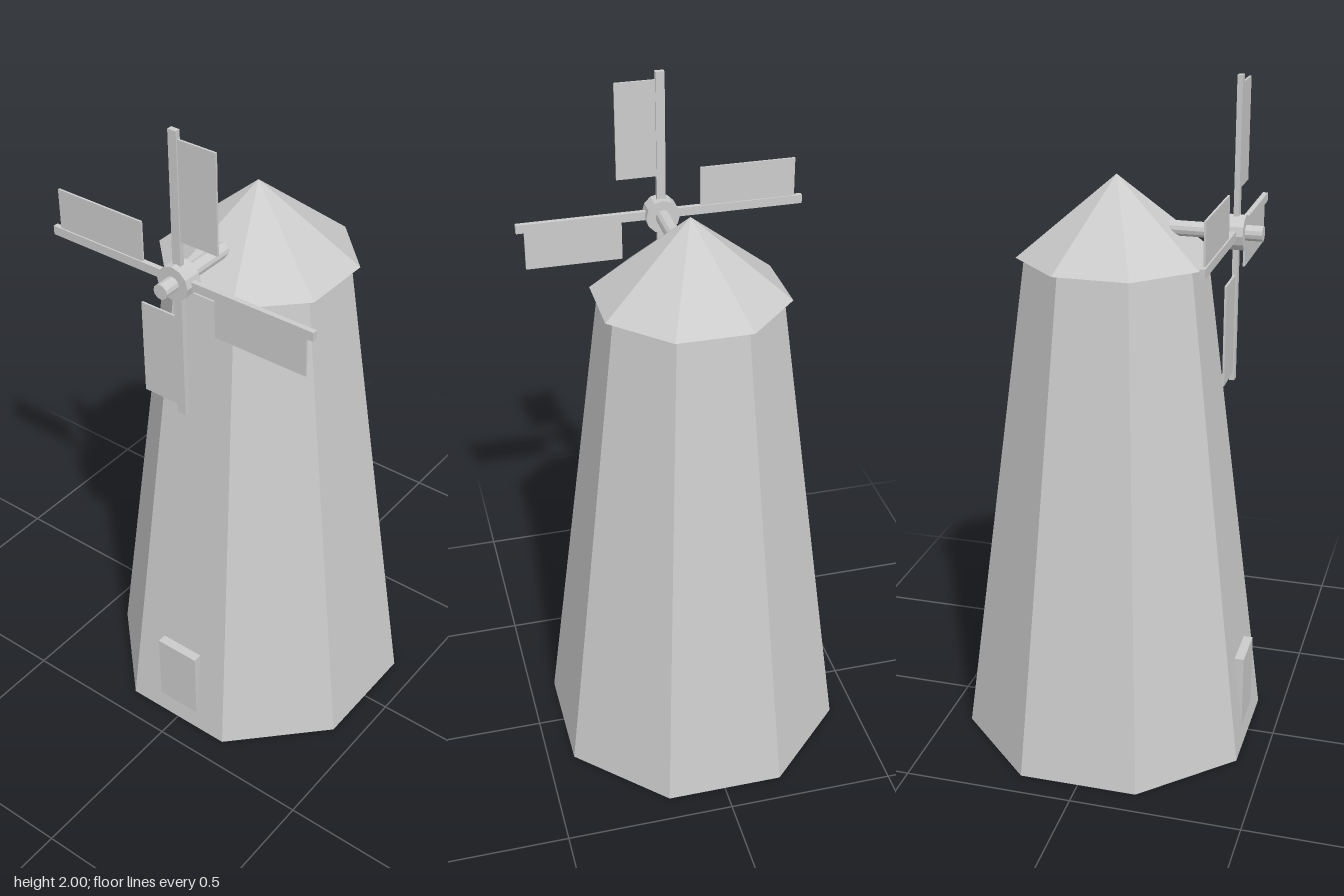
import * as THREE from 'three';

const material = new THREE.MeshStandardMaterial({ color: 0xcccccc, flatShading: true });
const OCT = 1 / Math.cos(Math.PI / 8); // apothem to corner radius

function add(parent, name, geometry, x = 0, y = 0, z = 0) {
  const mesh = new THREE.Mesh(geometry, material);
  mesh.name = name;
  mesh.position.set(x, y, z);
  parent.add(mesh);
  return mesh;
}

// Eight-sided frustum with a flat side facing the front
function octagon(topApothem, bottomApothem, height) {
  return new THREE.CylinderGeometry(topApothem * OCT, bottomApothem * OCT, height, 8, 1, false, Math.PI / 8);
}

// Cylinder lying along z between two depths
function rod(radius, z0, z1) {
  return new THREE.CylinderGeometry(radius, radius, z1 - z0, 12)
    .rotateX(Math.PI / 2)
    .translate(0, 0, (z0 + z1) / 2);
}

export function createModel() {
  const model = new THREE.Group();
  model.name = 'windmill';

  // Tapered tower, overhanging cap and door
  add(model, 'tower', octagon(0.24, 0.421, 1.488), 0, 0.744, 0);
  add(model, 'roof', octagon(0, 0.262, 0.23), 0, 1.6, 0);
  add(model, 'door', new THREE.BoxGeometry(0.14, 0.285, 0.028), 0, 0.1425, 0.4);

  // Axle and hub
  const rotor = new THREE.Group();
  rotor.name = 'rotor';
  rotor.position.y = 1.574;
  model.add(rotor);
  add(rotor, 'axle', rod(0.022, 0.155, 0.415));
  add(rotor, 'hub', rod(0.05, 0.313, 0.367));

  // Four arms, each with a thin sail on its clockwise side
  for (let i = 0; i < 4; i++) {
    const arm = new THREE.Group();
    arm.name = 'arm' + (i + 1);
    arm.position.z = 0.3405;
    arm.rotation.z = i * Math.PI / 2;
    add(arm, 'spar', new THREE.BoxGeometry(0.026, 0.426, 0.015), 0, 0.213, 0);
    add(arm, 'sail', new THREE.BoxGeometry(0.13, 0.285, 0.006), 0.065, 0.26, 0);
    rotor.add(arm);
  }
  return model;
}
